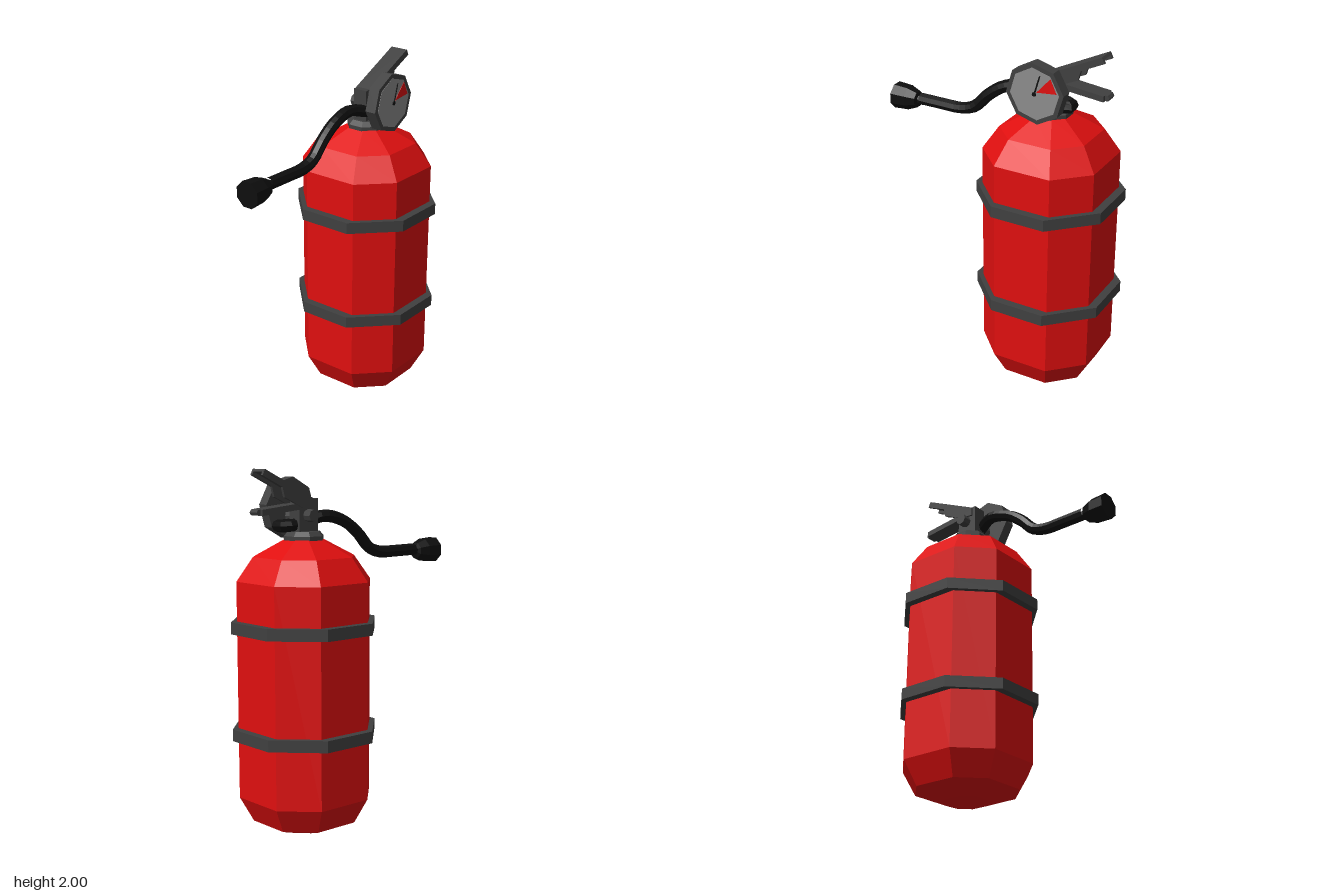
import * as THREE from 'three';

const mat = (name, color) => {
  const m = new THREE.MeshStandardMaterial({ color });
  m.name = name;
  return m;
};

// Faceted normals for the low-poly look
const flat = (g) => {
  const f = g.index ? g.toNonIndexed() : g;
  f.computeVertexNormals();
  return f;
};

// Slab cut from a side outline of [z, y] points, from x0 to x1
function sideSlab(points, x0, x1) {
  const shape = new THREE.Shape(points.map(([z, y]) => new THREE.Vector2(-z, y)));
  const g = new THREE.ExtrudeGeometry(shape, { depth: x1 - x0, bevelEnabled: false });
  return g.rotateY(Math.PI / 2).translate(x0, 0, 0);
}

// Octagonal turned part from [radius, y] points, with flat sides facing the axes
function turned(points) {
  const profile = points.map(([r, y]) => new THREE.Vector2(r, y));
  return new THREE.LatheGeometry(profile, 8, Math.PI / 8);
}

export function createModel() {
  const red = mat('tank red', 0xe00f0f);
  const dark = mat('dark grey metal', 0x404040);
  const black = mat('black rubber', 0x0e0e0e);
  const grey = mat('dial grey', 0x8c8c8c);

  const model = new THREE.Group();
  model.name = 'fireExtinguisher';
  const add = (name, geometry, material, parent = model) => {
    const mesh = new THREE.Mesh(flat(geometry), material);
    mesh.name = name;
    parent.add(mesh);
    return mesh;
  };
  const axisZ = -0.315;

  // Tank: profile gives the half width, corners are snapped to a chamfered square
  const tank = turned([[0, 0.003], [0.12, 0.003], [0.265, 0.06], [0.335, 0.2],
    [0.335, 1.4], [0.253, 1.53], [0.1, 1.62], [0, 1.62]]);
  const p = tank.attributes.position;
  for (let i = 0; i < p.count; i++) {
    const x = p.getX(i), z = p.getZ(i), a = Math.hypot(x, z);
    const wide = Math.abs(x) > Math.abs(z);
    p.setX(i, Math.sign(x) * a * (wide ? 1 : 0.49));
    p.setZ(i, Math.sign(z) * a * (wide ? 0.49 : 1));
  }
  add('tank', tank.translate(0, 0, axisZ), red);

  // Straps around the tank
  for (const [name, y] of [['lowerStrap', 0.53], ['upperStrap', 1.12]]) {
    const r = 0.38 / Math.cos(Math.PI / 8);
    const strap = turned([[0.34, y], [r, y], [r, y + 0.065], [0.34, y + 0.065]]);
    add(name, strap.translate(0, 0, axisZ), dark);
  }

  // Valve: collar, body and side knob
  const valve = new THREE.Group();
  valve.name = 'valve';
  model.add(valve);
  add('collar', turned([[0.113, 1.59], [0.113, 1.64], [0.09, 1.665], [0, 1.665]])
    .translate(0, 0, axisZ), dark, valve);
  add('valveBody', new THREE.BoxGeometry(0.085, 0.19, 0.13).translate(0, 1.745, axisZ), dark, valve);
  add('sideKnob', new THREE.CylinderGeometry(0.034, 0.034, 0.06, 8)
    .rotateZ(Math.PI / 2).translate(-0.065, 1.75, -0.32), dark, valve);

  // Squeeze lever: top plate with a flange on each side, and pivot cheeks
  const lever = new THREE.Group();
  lever.name = 'squeezeLever';
  model.add(lever);
  add('leverPlate', sideSlab([[-0.27, 1.832], [-0.27, 1.815], [-0.622, 1.985], [-0.613, 1.999]],
    -0.053, 0.053), dark, lever);
  for (const s of [-1, 1]) {
    const [x0, x1] = s < 0 ? [-0.053, -0.037] : [0.037, 0.053];
    add('leverFlange', sideSlab([[-0.27, 1.83], [-0.27, 1.78], [-0.36, 1.79], [-0.44, 1.83],
      [-0.485, 1.85], [-0.5, 1.905], [-0.63, 1.967], [-0.615, 1.997]], x0, x1), dark, lever);
  }

  // Lower carrying handle with a narrowed tip
  const handle = new THREE.Group();
  handle.name = 'carryHandle';
  model.add(handle);
  add('handleBar', sideSlab([[-0.3, 1.825], [-0.3, 1.79], [-0.63, 1.758], [-0.63, 1.79]],
    -0.048, 0.048), dark, handle);
  add('handleTip', sideSlab([[-0.62, 1.79], [-0.62, 1.76], [-0.648, 1.76], [-0.655, 1.775], [-0.645, 1.79]],
    -0.03, 0.03), dark, handle);

  // Pressure gauge on the left of the valve, facing +x
  const gauge = new THREE.Group();
  gauge.name = 'pressureGauge';
  gauge.position.set(0, 1.787, -0.306);
  model.add(gauge);
  const disc = (r, x0, x1) => new THREE.CylinderGeometry(r, r, x1 - x0, 8)
    .rotateY(0.11).rotateZ(-Math.PI / 2).translate((x0 + x1) / 2, 0, 0);
  add('gaugeCase', disc(0.168, 0.122, 0.187), dark, gauge);
  add('gaugeDial', disc(0.143, 0.185, 0.189), grey, gauge);
  add('gaugeRedZone', sideSlab([[-0.013, 0.012], [-0.128, 0.024], [-0.092, 0.1], [-0.06, 0.065]],
    0.188, 0.191), red, gauge);
  add('gaugeNeedle', sideSlab([[0.004, -0.002], [-0.004, -0.004], [-0.034, 0.103], [-0.028, 0.105]],
    0.188, 0.193), black, gauge);
  add('needleHub', disc(0.012, 0.188, 0.194), black, gauge);
  add('gaugeStem', new THREE.CylinderGeometry(0.075, 0.035, 0.09, 8)
    .scale(1, 1, 0.55).rotateZ(-Math.PI / 2).translate(0.082, -0.045, 0), dark, gauge);

  // Hose: leaves the back of the valve, wraps round its left and runs forward
  const path = new THREE.CatmullRomCurve3([
    [0, 1.7, -0.37], [0.02, 1.695, -0.44], [0.06, 1.695, -0.445], [0.07, 1.695, -0.37],
    [0.035, 1.72, -0.26], [0, 1.742, -0.16], [0, 1.705, -0.02], [0, 1.635, 0.08],
    [0, 1.55, 0.165], [0, 1.522, 0.25], [0, 1.52, 0.36], [0, 1.521, 0.52],
  ].map((v) => new THREE.Vector3(...v)));
  add('hose', new THREE.TubeGeometry(path, 30, 0.034, 8), black);

  // Nozzle at the end of the hose
  add('nozzle', turned([[0, 0.5], [0.026, 0.5], [0.026, 0.535], [0.048, 0.54], [0.07, 0.595],
    [0.076, 0.685], [0, 0.685]]).rotateX(Math.PI / 2).translate(0, 1.512, 0), black);

  return model;
}
